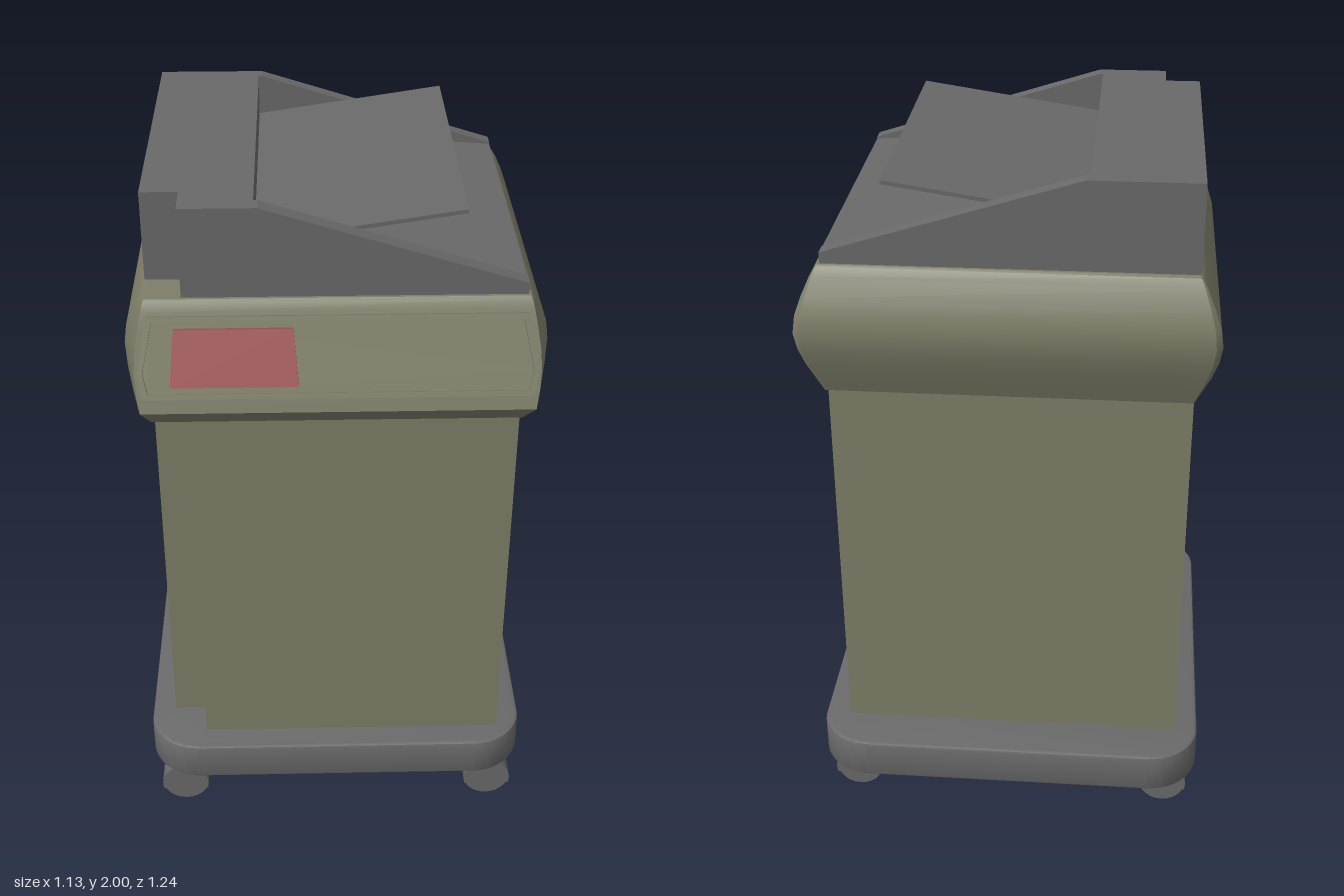
import * as THREE from 'three';
import { toCreasedNormals } from 'three/addons/utils/BufferGeometryUtils.js';

const paint = (color) => new THREE.MeshStandardMaterial({ color });

function polygon(points) {
  return new THREE.Shape(points.map(([x, y]) => new THREE.Vector2(x, y)));
}

function extrude(shape, depth, extra = {}) {
  return new THREE.ExtrudeGeometry(shape, { depth, bevelEnabled: false, curveSegments: 10, ...extra });
}

function add(parent, name, geometry, material, x = 0, y = 0, z = 0) {
  const mesh = new THREE.Mesh(geometry, material);
  mesh.name = name;
  mesh.position.set(x, y, z);
  parent.add(mesh);
  return mesh;
}

// Rounded rectangle centred on the origin
function roundedRect(w, h, r) {
  const s = new THREE.Shape(), x = w / 2 - r, y = h / 2 - r;
  s.absarc(x, y, r, 0, Math.PI / 2);
  s.absarc(-x, y, r, Math.PI / 2, Math.PI);
  s.absarc(-x, -y, r, Math.PI, Math.PI * 1.5);
  s.absarc(x, -y, r, Math.PI * 1.5, Math.PI * 2);
  s.closePath();
  return s;
}

// Flared head: octagonal loops stacked over height, capped at both ends
function headGeometry() {
  // y, half width, front z, back z
  const levels = [
    [1.38, 0.5, 0.5, -0.48], [1.47, 0.54, 0.605, -0.518], [1.52, 0.557, 0.59, -0.535],
    [1.57, 0.565, 0.573, -0.545], [1.62, 0.558, 0.556, -0.54], [1.67, 0.54, 0.538, -0.525],
    [1.72, 0.518, 0.52, -0.5], [1.745, 0.503, 0.508, -0.487], [1.75, 0.497, 0.502, -0.482],
  ];
  const pos = [], index = [], n = 8;
  for (const [y, w, f, b] of levels) {
    const k = w - 0.495, dx = 0.55 * k, dz = 2.5 * k, c = 0.25 * k;
    const loop = [[w, f - dz], [w, b + c], [w - c, b], [c - w, b], [-w, b + c], [-w, f - dz], [dx - w, f], [w - dx, f]];
    for (const [x, z] of loop) pos.push(x, y, z);
  }
  for (let i = 0; i < levels.length - 1; i++) {
    for (let j = 0; j < n; j++) {
      const a = i * n + j, b = i * n + (j + 1) % n;
      index.push(a, b, b + n, a, b + n, a + n);
    }
  }
  const top = (levels.length - 1) * n;
  for (let j = 1; j < n - 1; j++) {
    index.push(0, j + 1, j);
    index.push(top, top + j, top + j + 1);
  }
  const g = new THREE.BufferGeometry();
  g.setAttribute('position', new THREE.Float32BufferAttribute(pos, 3));
  g.setIndex(index);
  return toCreasedNormals(g, 0.6);
}

export function createModel() {
  const model = new THREE.Group();
  model.name = 'copierCabinet';
  const olive = paint(0x7d7d68), grey = paint(0x696969), red = paint(0xa05555);

  // Wheeled base plate
  const base = extrude(roundedRect(1.115, 1.18, 0.14), 0.1, { bevelEnabled: true, bevelThickness: 0.01, bevelSize: 0.01, bevelSegments: 2 });
  base.rotateX(-Math.PI / 2);
  add(model, 'base', toCreasedNormals(base, 0.6), grey, -0.002, 0.15, -0.02);

  // Casters: wheel under a half-round hood
  const wheel = new THREE.CylinderGeometry(0.069, 0.069, 0.085, 24).rotateX(Math.PI / 2);
  const hoodShape = new THREE.Shape();
  hoodShape.absarc(0, 0, 0.071, -0.3, Math.PI + 0.3);
  hoodShape.closePath();
  const hood = toCreasedNormals(extrude(hoodShape, 0.1).translate(0, 0, -0.05), 0.6);
  for (const x of [-0.472, 0.468]) {
    for (const z of [0.486, -0.46]) {
      const caster = new THREE.Group();
      caster.name = 'caster';
      caster.position.set(x, 0.07, z);
      add(caster, 'wheel', wheel, grey);
      add(caster, 'hood', hood, grey);
      model.add(caster);
    }
  }

  // Cabinet with a notched front corner
  const plan = polygon([[-0.5, -0.4], [-0.4, -0.4], [-0.4, -0.5], [0.49, -0.5], [0.49, 0.48], [-0.5, 0.48]]);
  add(model, 'cabinet', extrude(plan, 1.13).rotateX(-Math.PI / 2), olive, 0, 0.255, 0);
  add(model, 'head', headGeometry(), olive);

  // Tilted control panel: raised rim, recessed face, red display
  const panel = new THREE.Group();
  panel.name = 'controlPanel';
  panel.position.set(0, 1.62, 0.58);
  panel.rotation.x = -0.37;
  const outline = (d) => [
    [-0.505 + d, -0.107 + d], [0.505 - d, -0.107 + d], [0.517 - d, -0.04],
    [0.49 - d, 0.107 - d], [-0.49 + d, 0.107 - d], [-0.517 + d, -0.04],
  ];
  const rim = polygon(outline(0));
  rim.holes.push(polygon(outline(0.014)));
  add(panel, 'panelRim', extrude(rim, 0.06), olive, 0, 0, -0.06);
  add(panel, 'panelFace', extrude(polygon(outline(0.01)), 0.05), olive, 0, 0, -0.06);
  const screen = polygon([[-0.165, -0.074], [0.165, -0.074], [0.153, 0.076], [-0.153, 0.076]]);
  add(panel, 'display', extrude(screen, 0.035), red, -0.267, 0, -0.02);
  model.add(panel);

  // Document feeder: slices along z around a sunken output pocket
  const feeder = new THREE.Group();
  feeder.name = 'documentFeeder';
  const slice = (name, points, z0, z1) => add(feeder, name, extrude(polygon(points), z1 - z0), grey, 0, 0, z0);
  const cheek = (x) => [[x, 1.755], [0.49, 1.755], [0.49, 1.785], [-0.2, 2], [x, 2]];
  const pocket = (x) => [[x, 1.755], [0.49, 1.755], [0.49, 1.78], [-0.21, 1.83], [-0.21, 2], [x, 2]];
  slice('backCheek', cheek(-0.5), -0.487, -0.442);
  slice('feederBody', pocket(-0.5), -0.442, 0.4);
  slice('feederFront', pocket(-0.4), 0.4, 0.455);
  slice('frontCheek', cheek(-0.4), 0.455, 0.503);

  // Paper tray rising out of the pocket
  slice('paperTray', [[-0.21, 1.876], [0.33, 1.957], [0.33, 1.968], [-0.21, 1.887]], -0.437, 0.452);
  model.add(feeder);

  return model;
}
